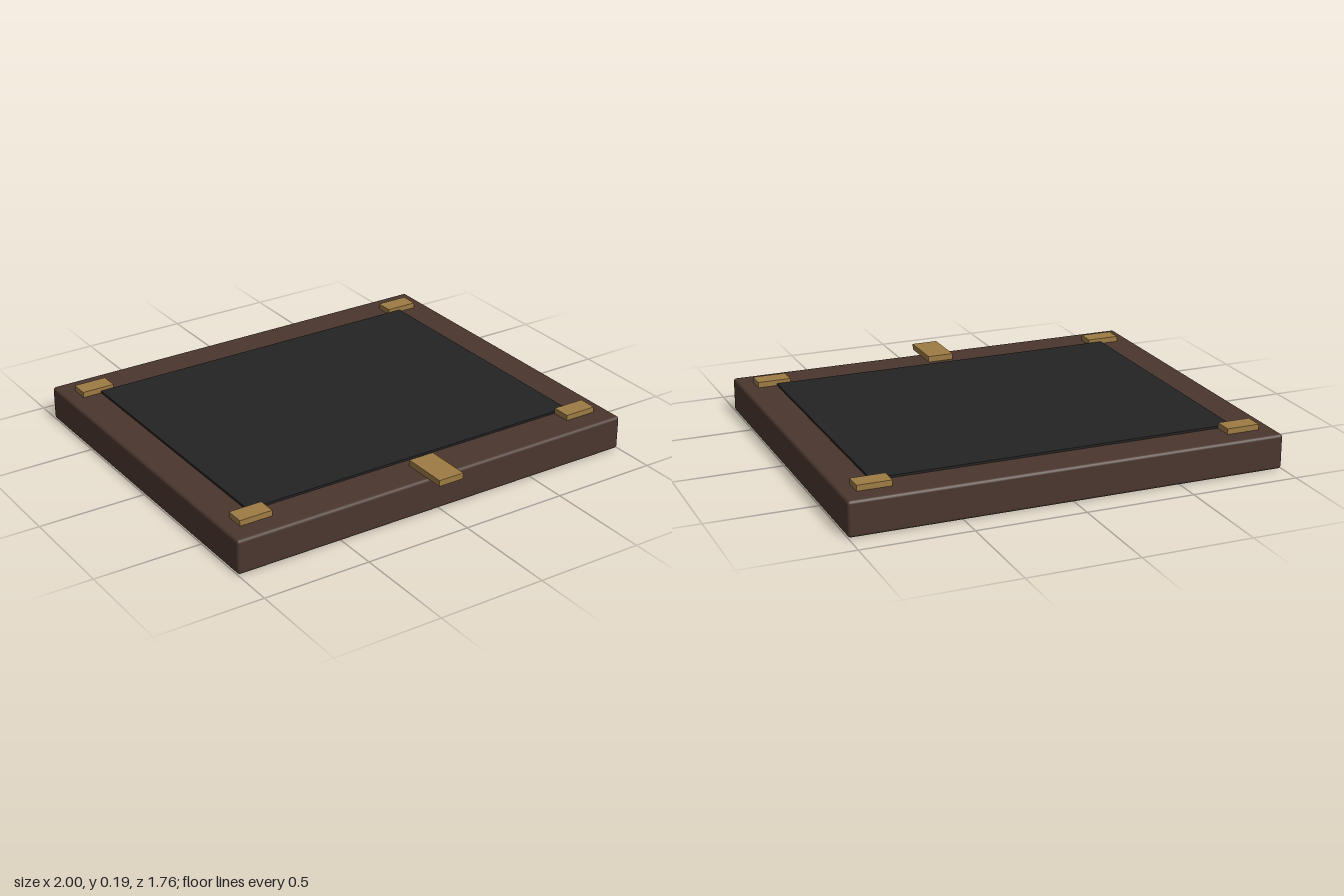
import * as THREE from 'three';
import { RoundedBoxGeometry } from 'three/addons/geometries/RoundedBoxGeometry.js';

const material = (name, color) => {
  const m = new THREE.MeshStandardMaterial({ color });
  m.name = name;
  return m;
};

export function createModel() {
  const wood = material('dark wood', 0x4a362e);
  const dark = material('black panel', 0x232323);
  const brass = material('brass', 0x9d7b43);

  const model = new THREE.Group();
  model.name = 'shallowCase';

  // Adds a box given its x, y and z ranges; a radius softens its edges
  function box(name, mat, [x0, x1], [y0, y1], [z0, z1], radius = 0) {
    const size = [x1 - x0, y1 - y0, z1 - z0];
    const geometry = radius
      ? new RoundedBoxGeometry(...size, 2, radius)
      : new THREE.BoxGeometry(...size);
    const mesh = new THREE.Mesh(geometry, mat);
    mesh.name = name;
    mesh.position.set((x0 + x1) / 2, (y0 + y1) / 2, (z0 + z1) / 2);
    model.add(mesh);
  }

  // Wooden body with softened edges
  box('body', wood, [-1, 1], [0, 0.16], [-0.88, 0.8], 0.014);

  // Raised dark panel on the lid
  box('topPanel', dark, [-0.84, 0.84], [0.15, 0.17], [-0.7, 0.613]);

  // Brass plates at the four corners
  for (const [side, xs] of [['left', [0.775, 0.93]], ['right', [-0.93, -0.775]]]) {
    box(side + 'FrontCornerPlate', brass, xs, [0.16, 0.186], [0.613, 0.7]);
    box(side + 'BackCornerPlate', brass, xs, [0.16, 0.186], [-0.787, -0.7]);
  }

  // Clasp overhanging the front edge
  box('clasp', brass, [-0.062, 0.062], [0.162, 0.19], [0.66, 0.88]);

  return model;
}
